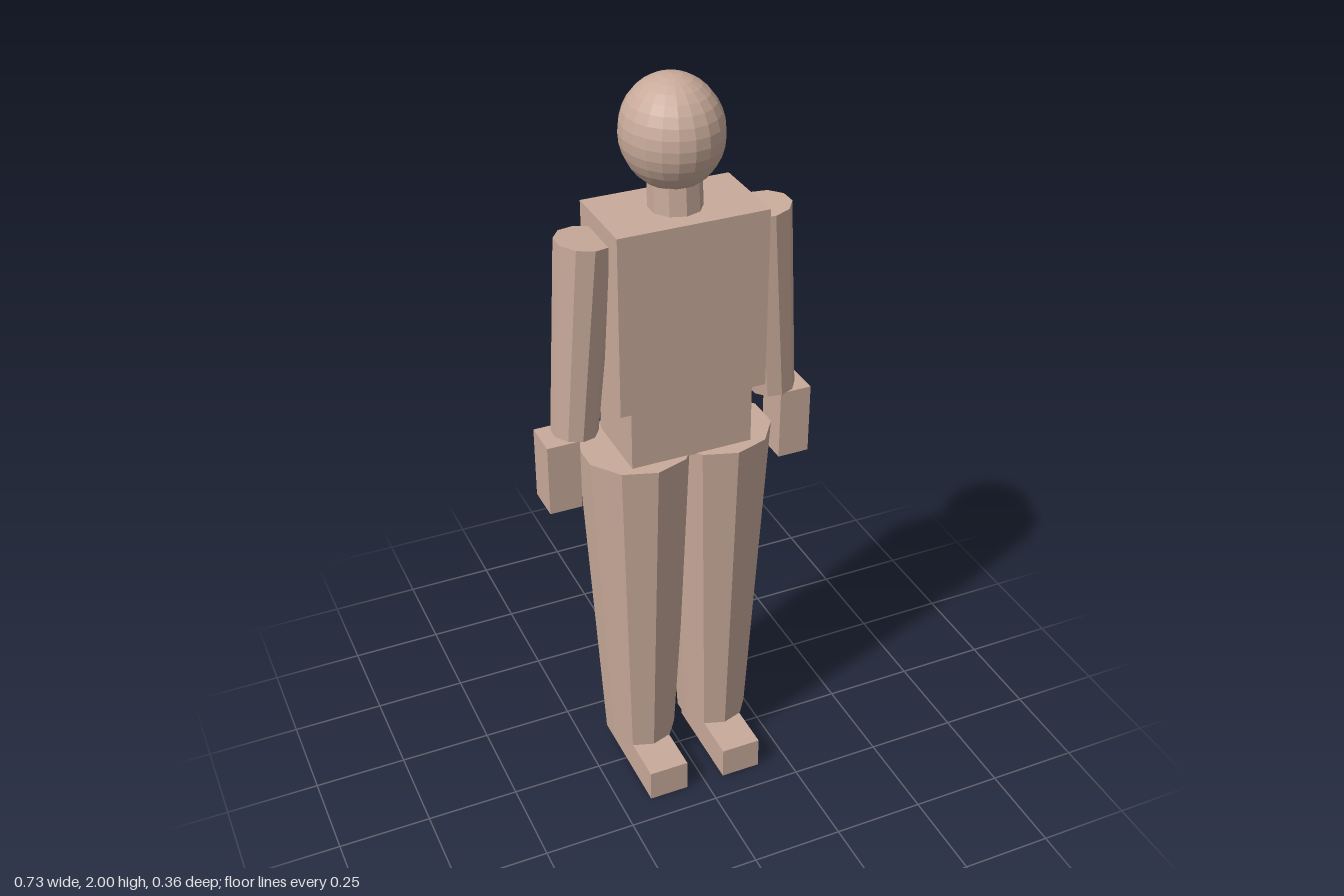
import * as THREE from 'three';

export function createModel() {
  const group = new THREE.Group();
  const skin = new THREE.MeshStandardMaterial({ color: 0xc8aa9a, flatShading: true });
  skin.name = 'skin';

  function add(name, geometry, x, y, z) {
    const mesh = new THREE.Mesh(geometry, skin);
    mesh.name = name;
    mesh.position.set(x, y, z);
    group.add(mesh);
    return mesh;
  }

  // Box given by its size and centre
  const box = (name, w, h, d, x, y, z) => add(name, new THREE.BoxGeometry(w, h, d), x, y, z);

  // Ten-sided tapered limb between two points
  function limb(name, top, bottom, rTop, rBottom) {
    const a = new THREE.Vector3(...top);
    const b = new THREE.Vector3(...bottom);
    const axis = a.clone().sub(b);
    const geometry = new THREE.CylinderGeometry(rTop, rBottom, axis.length(), 10);
    const mid = a.add(b).multiplyScalar(0.5);
    const mesh = add(name, geometry, mid.x, mid.y, mid.z);
    mesh.quaternion.setFromUnitVectors(new THREE.Vector3(0, 1, 0), axis.normalize());
  }

  // Head and neck
  const head = add('head', new THREE.SphereGeometry(1, 20, 16), 0, 1.863, -0.042);
  head.scale.set(0.125, 0.137, 0.137);
  limb('neck', [0, 1.78, -0.03], [0, 1.67, -0.021], 0.066, 0.067);

  // Trunk
  box('chest', 0.39, 0.477, 0.23, 0, 1.445, -0.026);
  box('hips', 0.326, 0.166, 0.21, 0, 1.124, -0.026);

  // Mirrored limbs
  for (const [side, s] of [['left', 1], ['right', -1]]) {
    limb(side + 'Arm', [s * 0.231, 1.642, -0.025], [s * 0.273, 1.125, -0.026], 0.073, 0.06);
    box(side + 'Hand', 0.086, 0.195, 0.098, s * 0.32, 1.023, -0.028);
    limb(side + 'Leg', [s * 0.11, 1.043, -0.027], [s * 0.11, 0.094, -0.024], 0.149, 0.096);
    box(side + 'Foot', 0.11, 0.092, 0.285, s * 0.11, 0.046, 0.0355);
  }
  return group;
}
